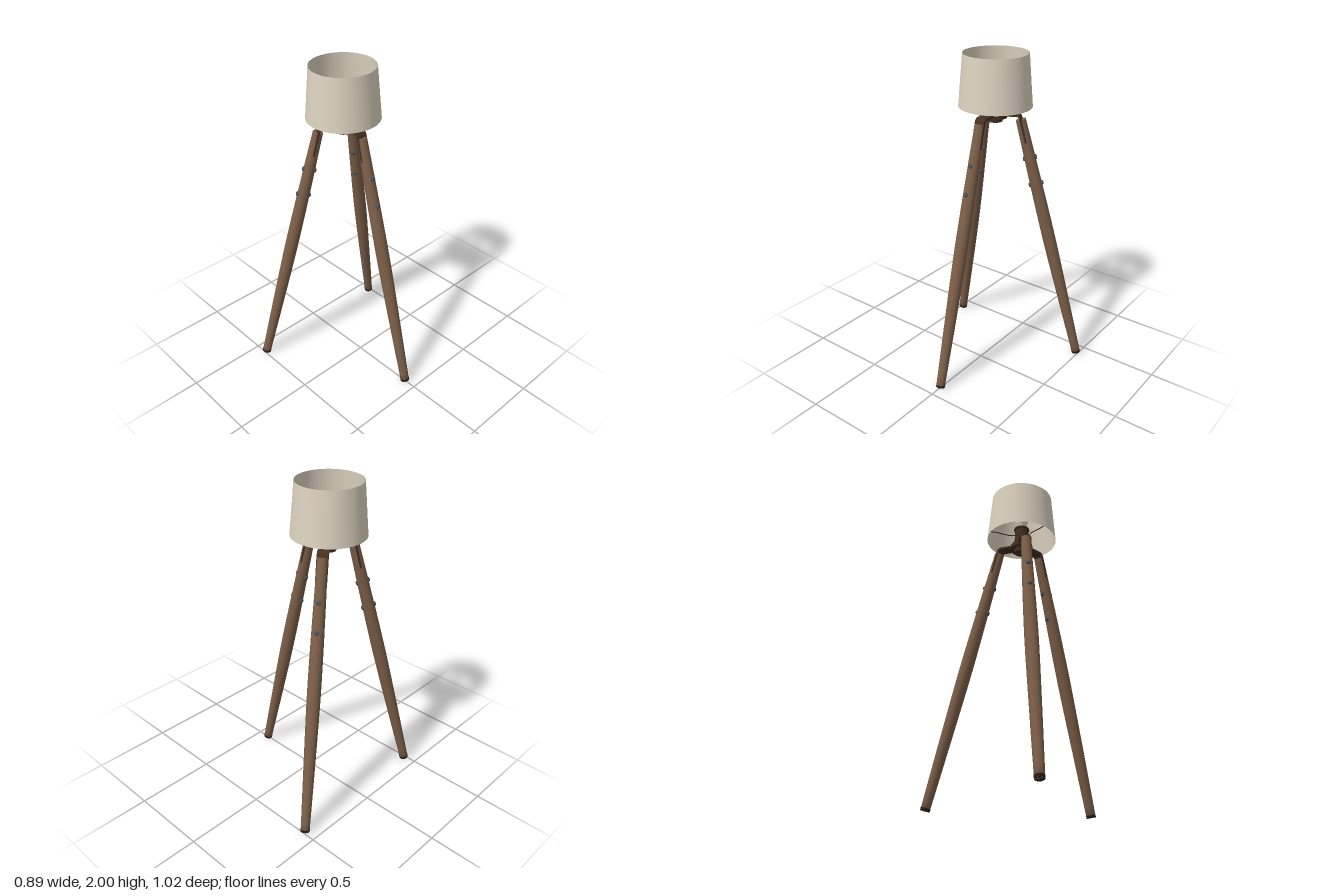
import * as THREE from 'three';

const AXIS_X = -0.14; // the lamp's vertical axis
const mat = (name, color, side = THREE.FrontSide) => {
  const m = new THREE.MeshStandardMaterial({ color, side });
  m.name = name;
  return m;
};

export function createModel() {
  const wood = mat('wood', 0x7d5f48);
  const bronze = mat('dark bronze', 0x443123);
  const rubber = mat('foot rubber', 0x2a1e16);
  const steel = mat('blued steel', 0x4a545e);
  const fabric = mat('shade fabric', 0xddd3c0, THREE.DoubleSide);
  const glass = mat('bulb glass', 0xe8decd);

  const model = new THREE.Group();
  model.name = 'tripodLamp';
  const lamp = new THREE.Group();
  lamp.name = 'lamp';
  lamp.position.x = AXIS_X;
  model.add(lamp);

  const add = (parent, name, geometry, material, x = 0, y = 0, z = 0) => {
    const mesh = new THREE.Mesh(geometry, material);
    mesh.name = name;
    mesh.position.set(x, y, z);
    parent.add(mesh);
    return mesh;
  };
  const cyl = (top, bottom, h, sides = 32) => new THREE.CylinderGeometry(top, bottom, h, sides);

  // Open tapered shade
  add(lamp, 'shade', new THREE.CylinderGeometry(0.192, 0.218, 0.31, 64, 1, true), fabric, 0, 1.845);

  // Hub, socket and bulb
  add(lamp, 'hubNut', cyl(0.045, 0.042, 0.025), bronze, 0, 1.61);
  add(lamp, 'hubPlate', cyl(0.07, 0.07, 0.024), bronze, 0, 1.634);
  add(lamp, 'socketBase', cyl(0.05, 0.055, 0.012), bronze, 0, 1.652);
  add(lamp, 'socket', cyl(0.044, 0.044, 0.13), bronze, 0, 1.715);
  add(lamp, 'socketRing', new THREE.TorusGeometry(0.044, 0.006, 8, 32).rotateX(Math.PI / 2), bronze, 0, 1.77);
  const bulbProfile = [
    [0.02, 1.77], [0.022, 1.79], [0.032, 1.81], [0.039, 1.83],
    [0.04, 1.842], [0.036, 1.86], [0.024, 1.874], [0.001, 1.881],
  ].map(([r, y]) => new THREE.Vector2(r, y));
  add(lamp, 'bulb', new THREE.LatheGeometry(bulbProfile, 32), glass);

  // Bent bracket strip, drawn in the radius-height plane
  const strip = new THREE.Shape();
  strip.moveTo(0.03, 1.647);
  strip.lineTo(0.128, 1.647);
  strip.quadraticCurveTo(0.15, 1.645, 0.157, 1.617);
  strip.lineTo(0.191, 1.477);
  strip.lineTo(0.179, 1.474);
  strip.lineTo(0.145, 1.612);
  strip.quadraticCurveTo(0.14, 1.634, 0.126, 1.635);
  strip.lineTo(0.03, 1.635);
  strip.closePath();
  const bracketGeo = new THREE.ExtrudeGeometry(strip, { depth: 0.066, bevelEnabled: false, curveSegments: 10 });
  bracketGeo.translate(0, 0, -0.033);

  // Gently swelling leg, hung from its top end along local -y
  const spread = 0.41, drop = 1.605;
  const length = Math.hypot(spread, drop);
  const bulge = new THREE.SplineCurve([
    [0.027, -length], [0.034, -1.25], [0.0395, -0.85],
    [0.039, -0.6], [0.036, -0.35], [0.03, 0],
  ].map(([r, y]) => new THREE.Vector2(r, y)));
  const legProfile = [
    new THREE.Vector2(0, -length), ...bulge.getPoints(24),
  ];
  const legGeo = new THREE.LatheGeometry(legProfile, 32);
  const legTopGeo = new THREE.CircleGeometry(0.03, 32).rotateX(-Math.PI / 2);
  const footGeo = cyl(0.0285, 0.0275, 0.016);
  const boltGeo = new THREE.SphereGeometry(0.015, 16, 10).scale(0.6, 1, 1);

  for (let i = 0; i < 3; i++) {
    const arm = new THREE.Group();
    arm.name = 'tripodArm' + (i + 1);
    arm.rotation.y = (i * Math.PI * 2) / 3;
    lamp.add(arm);
    add(arm, 'bracket', bracketGeo, bronze);

    const leg = new THREE.Group();
    leg.name = 'leg';
    leg.position.set(0.15, 1.612, 0);
    leg.rotation.z = Math.atan2(spread, drop);
    arm.add(leg);
    add(leg, 'legShaft', legGeo, wood);
    add(leg, 'legTop', legTopGeo, wood);
    add(leg, 'foot', footGeo, rubber, 0, -length + 0.008);

    // Bolt heads on the inner and outer faces of the leg
    for (const [y, r] of [[-0.243, 0.0345], [-0.413, 0.037]]) {
      for (const side of [-1, 1]) add(leg, 'bolt', boltGeo, steel, side * r, y);
    }

    // Hub screw between two brackets
    const a = Math.PI / 3;
    add(arm, 'hubScrew', cyl(0.009, 0.009, 0.008, 12), steel, 0.06 * Math.cos(a), 1.649, 0.06 * Math.sin(a));

    // Wavy wire from the socket to the shade
    const wire = new THREE.CatmullRomCurve3([
      [0.03, 1.715, 0.03], [0.01, 1.715, 0.07], [0.013, 1.716, 0.11],
      [0.02, 1.718, 0.15], [0.021, 1.72, 0.19], [0.021, 1.72, 0.214],
    ].map((p) => new THREE.Vector3(...p)));
    add(arm, 'shadeWire', new THREE.TubeGeometry(wire, 24, 0.003, 8), bronze);
  }
  return model;
}
